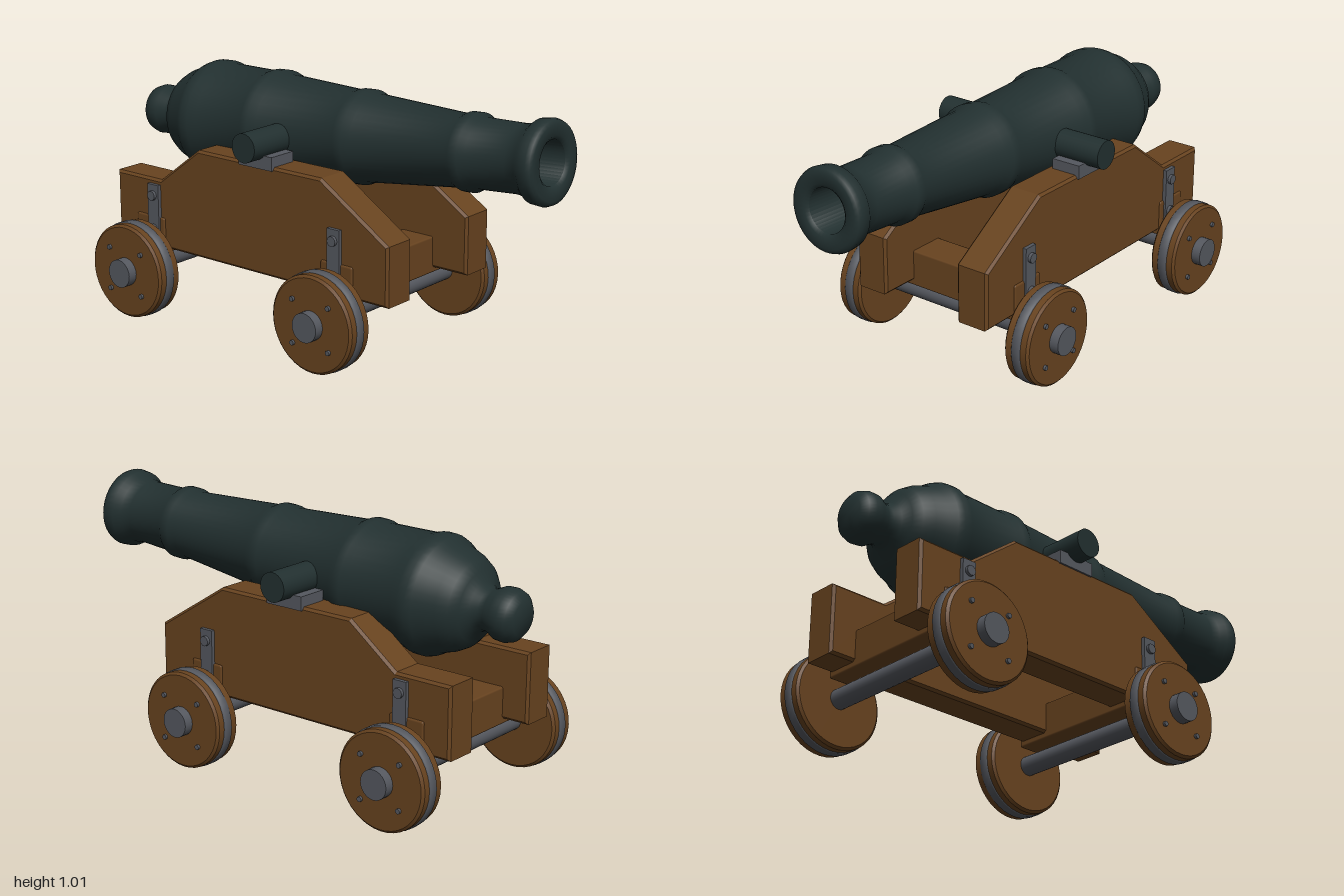
import * as THREE from 'three';
import { toCreasedNormals } from 'three/addons/utils/BufferGeometryUtils.js';
import { RoundedBoxGeometry } from 'three/addons/geometries/RoundedBoxGeometry.js';

const material = (name, color) => {
  const m = new THREE.MeshStandardMaterial({ color });
  m.name = name;
  return m;
};

export function createModel() {
  const gunmetal = material('dark gunmetal', 0x223030);
  const wood = material('brown wood', 0x68431f);
  const iron = material('grey iron', 0x55585f);

  const model = new THREE.Group();
  model.name = 'cannon';

  const add = (parent, name, geometry, mat, x = 0, y = 0, z = 0) => {
    const mesh = new THREE.Mesh(geometry, mat);
    mesh.name = name;
    mesh.position.set(x, y, z);
    parent.add(mesh);
    return mesh;
  };
  const box = (w, h, d) => new RoundedBoxGeometry(w, h, d, 1, 0.008);
  // Cylinder running along z
  const rod = (r, length, sides = 24) =>
    new THREE.CylinderGeometry(r, r, length, sides).rotateX(Math.PI / 2);
  const lathe = (pairs, sides, crease) => toCreasedNormals(
    new THREE.LatheGeometry(pairs.map(([r, h]) => new THREE.Vector2(r, h)), sides), crease);

  // Barrel, turned about its own axis and slightly raised at the muzzle
  const barrel = new THREE.Group();
  barrel.name = 'barrel';
  barrel.position.set(0, 0.798, 0);
  barrel.rotation.z = THREE.MathUtils.degToRad(3);
  model.add(barrel);
  const profile = [
    [0, -1.0], [0.065, -0.998], [0.092, -0.975], [0.102, -0.945], [0.1, -0.91],
    [0.082, -0.875], [0.08, -0.85], [0.095, -0.825], [0.135, -0.808], [0.165, -0.78],
    [0.188, -0.74], [0.205, -0.69], [0.224, -0.66], [0.233, -0.635], [0.233, -0.6],
    [0.222, -0.565], [0.212, -0.35], [0.221, -0.325], [0.221, -0.29], [0.205, -0.26],
    [0.178, 0.09], [0.185, 0.115], [0.185, 0.155], [0.171, 0.185],
    [0.138, 0.6], [0.149, 0.625], [0.149, 0.665], [0.133, 0.69], [0.129, 0.86],
    [0.137, 0.905], [0.157, 0.93], [0.161, 0.97], [0.155, 0.986], [0.14, 0.992],
    [0.1, 0.992], [0.085, 0.98], [0.085, 0.6], [0, 0.6],
  ];
  add(barrel, 'gunTube', lathe(profile, 40, 0.9).rotateZ(-Math.PI / 2), gunmetal);
  add(model, 'trunnion', rod(0.058, 0.78), gunmetal, -0.15, 0.79, 0);

  // Carriage cheeks: stepped planks with small bevels
  const outline = new THREE.Shape([
    [-0.915, 0.272], [0.49, 0.272], [0.49, 0.51], [0.17, 0.714],
    [-0.46, 0.714], [-0.67, 0.556], [-0.915, 0.556],
  ].map(([x, y]) => new THREE.Vector2(x, y)));
  const bevel = 0.01;
  const cheek = new THREE.ExtrudeGeometry(outline, {
    depth: 0.143 - 2 * bevel, bevelThickness: bevel, bevelSize: bevel,
    bevelOffset: -bevel, bevelSegments: 1,
  }).translate(0, 0, -0.0715 + bevel);

  for (const side of [1, -1]) {
    add(model, 'cheek', cheek, wood, -0, 0, side * 0.246);
    add(model, 'trunnionSaddle', new THREE.BoxGeometry(0.17, 0.055, 0.125), iron,
      -0.15, 0.7275, side * 0.2625);
  }

  // Wheel pieces, with the axis turned to z
  const disc = lathe([
    [0, -0.056], [0.183, -0.056], [0.193, -0.047], [0.193, 0.047], [0.183, 0.056], [0, 0.056],
  ], 40, 0.6).rotateX(Math.PI / 2);
  const band = lathe([
    [0.185, -0.021], [0.193, -0.021], [0.197, -0.017], [0.197, 0.017], [0.193, 0.021], [0.185, 0.021],
  ], 40, 0.9).rotateX(Math.PI / 2);

  const axles = [{ x: -0.725, strapX: -0.7 }, { x: 0.25, strapX: 0.243 }];
  for (const { x, strapX } of axles) {
    // Wooden bolster and iron axle
    add(model, 'axleBolster', box(0.155, 0.15, 0.65), wood, x, 0.325, 0);
    add(model, 'axle', rod(0.04, 0.8), iron, x, 0.2, 0);

    for (const side of [1, -1]) {
      const wheel = new THREE.Group();
      wheel.name = 'wheel';
      wheel.position.set(x, 0.197, side * 0.415);
      model.add(wheel);
      add(wheel, 'wheelDisc', disc, wood);
      add(wheel, 'wheelBand', band, iron);
      add(wheel, 'hub', rod(0.058, 0.06), iron, 0, 0, side * 0.065);
      for (const u of [-1, 1]) for (const v of [-1, 1])
        add(wheel, 'wheelBolt', rod(0.01, 0.02, 10), iron, u * 0.087, v * 0.087, side * 0.056);

      // Strap bolted to the outside of the cheek
      add(model, 'strap', new THREE.BoxGeometry(0.06, 0.235, 0.016), iron,
        strapX, 0.4175, side * 0.325);
      for (const y of [0.35, 0.49])
        add(model, 'strapBolt', rod(0.02, 0.025, 12), iron, strapX, y, side * 0.333);
    }
  }
  return model;
}
